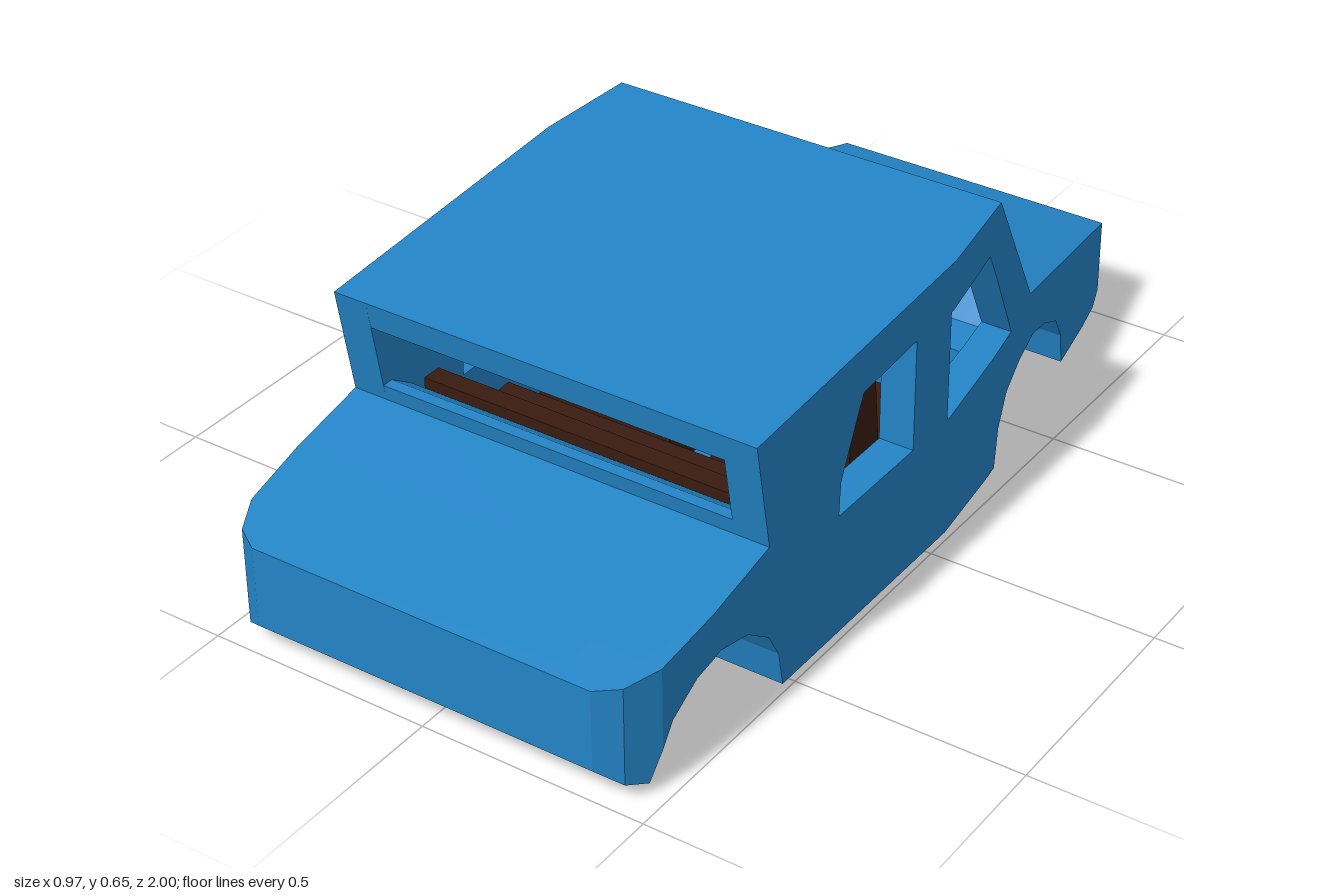
import * as THREE from 'three';

const paint = new THREE.MeshStandardMaterial({ color: 0x2384c6, flatShading: true });
const leather = new THREE.MeshStandardMaterial({ color: 0x3a1c10, flatShading: true });
const grey = new THREE.MeshStandardMaterial({ color: 0x555555, flatShading: true });

// Plan outline: half width of the body along its length, as [z, half width]
const PLAN = [[-1, 0.33], [-0.52, 0.42], [-0.3, 0.457], [-0.08, 0.485], [0.75, 0.485],
  [0.9, 0.475], [0.97, 0.44], [1, 0.39]];
const BREAKS = PLAN.slice(1, -1).map(([z]) => z);

function outer(z) {
  let i = 1;
  while (i < PLAN.length - 1 && z > PLAN[i][0]) i++;
  const [z0, w0] = PLAN[i - 1], [z1, w1] = PLAN[i];
  return w0 + (w1 - w0) * (z - z0) / (z1 - z0);
}
const lining = (z) => 0.84 * outer(z);
const wellDepth = (z) => Math.min(0.32, 0.75 * outer(z));

// Cut a triangle in two along a plane of constant z
function splitTriangle(tri, z) {
  const d = tri.map((p) => p.z - z);
  if (d.every((v) => v >= -1e-6) || d.every((v) => v <= 1e-6)) return [tri];
  const out = [];
  for (const side of [1, -1]) {
    const poly = [];
    tri.forEach((p, i) => {
      const j = (i + 1) % 3;
      if (side * d[i] >= 0) poly.push(p);
      if (d[i] * d[j] < 0) poly.push(p.clone().lerp(tri[j], d[i] / (d[i] - d[j])));
    });
    for (let k = 1; k < poly.length - 1; k++) out.push([poly[0], poly[k], poly[k + 1]]);
  }
  return out;
}

// Side profile of [z, y] points, spread across x between two plan curves
function slab(name, profile, x0, x1, { holes = [], mirror = false, material = paint } = {}) {
  const points = (list) => list.map(([z, y]) => new THREE.Vector2(-z, y));
  const shape = new THREE.Shape(points(profile));
  for (const hole of holes) shape.holes.push(new THREE.Path(points(hole)));
  const extruded = new THREE.ExtrudeGeometry(shape, { depth: 1, bevelEnabled: false });
  const source = (extruded.index ? extruded.toNonIndexed() : extruded).attributes.position;

  let triangles = [];
  for (let i = 0; i < source.count; i += 3) {
    triangles.push([0, 1, 2].map((k) =>
      new THREE.Vector3(source.getZ(i + k), source.getY(i + k), -source.getX(i + k))));
  }
  for (const z of BREAKS) triangles = triangles.flatMap((t) => splitTriangle(t, z));

  const positions = [];
  for (const tri of triangles) {
    for (const p of mirror ? [tri[0], tri[2], tri[1]] : tri) {
      const x = x0(p.z) + (x1(p.z) - x0(p.z)) * p.x;
      positions.push(mirror ? -x : x, p.y, p.z);
    }
  }
  const geometry = new THREE.BufferGeometry();
  geometry.setAttribute('position', new THREE.Float32BufferAttribute(positions, 3));
  geometry.computeVertexNormals();
  const mesh = new THREE.Mesh(geometry, material);
  mesh.name = name;
  return mesh;
}

export function createModel() {
  const model = new THREE.Group();
  model.name = 'carBody';

  // Underside, from the +z end to the -z end, with and without wheel arches
  const tailEnd = [[1, 0.25], [1, 0.07], [0.97, 0.04]];
  const noseEnd = [[-0.9, 0.02], [-0.97, 0.03], [-1, 0.06], [-1, 0.23]];
  const rearArch = [[0.925, 0.025], [0.9, 0.09], [0.87, 0.14], [0.8, 0.19], [0.73, 0.21],
    [0.64, 0.19], [0.57, 0.14], [0.535, 0.08], [0.52, 0]];
  const frontArch = [[-0.335, 0], [-0.35, 0.09], [-0.39, 0.155], [-0.46, 0.19], [-0.54, 0.21],
    [-0.62, 0.19], [-0.7, 0.15], [-0.74, 0.09], [-0.755, 0.015]];
  const archedSill = [...tailEnd, ...rearArch, ...frontArch, ...noseEnd];
  const plainSill = [...tailEnd, [0.9, 0.02], [0.53, 0], [-0.34, 0], ...noseEnd];

  // Top of the lower body: bonnet, dashboard, cabin floor, parcel shelf and boot
  const deck = [[-0.51, 0.325], [-0.494, 0.35], [-0.475, 0.35], [-0.4, 0.28], [-0.31, 0.27],
    [-0.31, 0.06], [0.49, 0.06], [0.49, 0.34], [0.55, 0.38], [0.576, 0.38], [0.57, 0.345]];
  // Outline of the cabin above the waist
  const cabin = [[-0.51, 0.325], [-0.3, 0.65], [0.613, 0.585], [0.57, 0.345]];
  const windows = [
    [[0.33, 0.275], [0.06, 0.275], [0.06, 0.525], [0.25, 0.51], [0.325, 0.35]],
    [[-0.07, 0.275], [-0.4, 0.295], [-0.255, 0.55], [-0.07, 0.523]],
  ];

  // Lower body between the wheel wells
  model.add(slab('lowerBody', [...plainSill, ...deck], (z) => -wellDepth(z), wellDepth));

  // Roof between the side walls
  const roof = [[-0.3, 0.65], [0.613, 0.585], [0.602, 0.525], [0.57, 0.525], [-0.27, 0.605],
    [-0.319, 0.62]];
  model.add(slab('roof', roof, (z) => -lining(z), lining));

  // Front seats, one profile for cushion and backrest
  const seat = [[0.12, 0.06], [0.12, 0.445], [0.06, 0.482], [0.04, 0.482], [0.01, 0.2],
    [-0.2, 0.21], [-0.2, 0.06]];

  for (const mirror of [false, true]) {
    const side = mirror ? 'right' : 'left';
    model.add(slab(`${side}WheelWells`, [...archedSill, ...deck], wellDepth, lining, { mirror }));
    model.add(slab(`${side}SideWall`, [...archedSill, ...cabin], lining, outer,
      { mirror, holes: windows }));
    model.add(slab(`${side}FrontSeat`, seat, () => 0.05, () => 0.378,
      { mirror, material: leather }));
  }

  // Rear bench
  const bench = [[0.485, 0.065], [0.485, 0.36], [0.44, 0.36], [0.41, 0.2], [0.22, 0.21],
    [0.22, 0.065]];
  model.add(slab('rearBench', bench, () => -0.38, () => 0.38, { material: leather }));

  // Steering wheel with hub, spokes and column, tilted towards the driver
  const steering = new THREE.Group();
  steering.name = 'steering';
  steering.position.set(-0.22, 0.35, -0.235);
  steering.rotation.x = -0.88;
  const rim = new THREE.Mesh(new THREE.TorusGeometry(0.095, 0.014, 6, 16), leather);
  rim.name = 'steeringWheel';
  const spoke = new THREE.Mesh(new THREE.BoxGeometry(0.18, 0.025, 0.015), leather);
  spoke.name = 'steeringSpoke';
  const column = new THREE.Mesh(new THREE.CylinderGeometry(0.018, 0.018, 0.13, 8), grey);
  column.name = 'steeringColumn';
  column.rotation.x = Math.PI / 2;
  column.position.z = -0.06;
  steering.add(rim, spoke, column);
  model.add(steering);

  return model;
}
